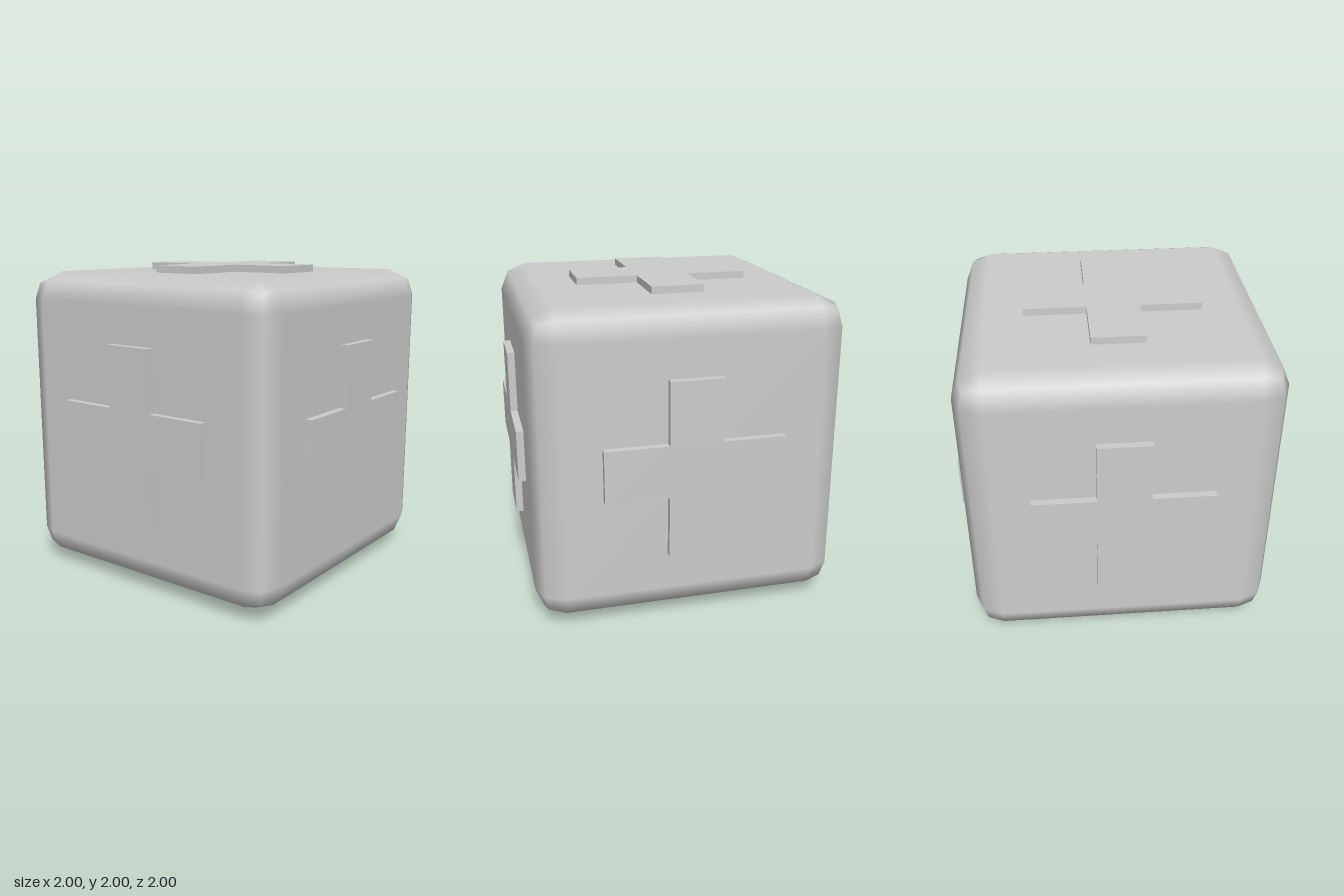
import * as THREE from 'three';
import { RoundedBoxGeometry } from 'three/addons/geometries/RoundedBoxGeometry.js';

const BODY = 1.91;   // cube side
const RADIUS = 0.175; // rounded edge
const ARM = 0.548;   // cross half length
const HALF = 0.163;  // cross half width
const SINK = 0.05;   // depth of the cross inside the body

// Plus-shaped plate, from inside the body out to z = 1
function crossGeometry() {
  const corners = [];
  for (let i = 0; i < 4; i++) {
    const turn = (i * Math.PI) / 2;
    for (const [x, y] of [[ARM, -HALF], [ARM, HALF], [HALF, HALF]]) {
      corners.push(new THREE.Vector2(x, y).rotateAround(new THREE.Vector2(), turn));
    }
  }
  const depth = 1 - BODY / 2 + SINK;
  const geometry = new THREE.ExtrudeGeometry(new THREE.Shape(corners), { depth, bevelEnabled: false });
  return geometry.translate(0, 0, 1 - depth);
}

export function createModel() {
  const model = new THREE.Group();
  model.name = 'crossCube';
  const grey = new THREE.MeshStandardMaterial({ color: 0xcccccc });
  grey.name = 'light grey';

  // Body with softly rounded edges
  const body = new THREE.Mesh(new RoundedBoxGeometry(BODY, BODY, BODY, 1, RADIUS), grey);
  body.name = 'body';
  body.position.y = 1;
  model.add(body);

  // One raised cross on each face
  const geometry = crossGeometry();
  const q = Math.PI / 2;
  const faces = {
    front: [0, 0], left: [0, q], back: [0, 2 * q], right: [0, -q], top: [-q, 0], bottom: [q, 0],
  };
  for (const [side, [rx, ry]] of Object.entries(faces)) {
    const cross = new THREE.Mesh(geometry, grey);
    cross.name = `${side}Cross`;
    cross.position.y = 1;
    cross.rotation.set(rx, ry, 0);
    model.add(cross);
  }
  return model;
}
